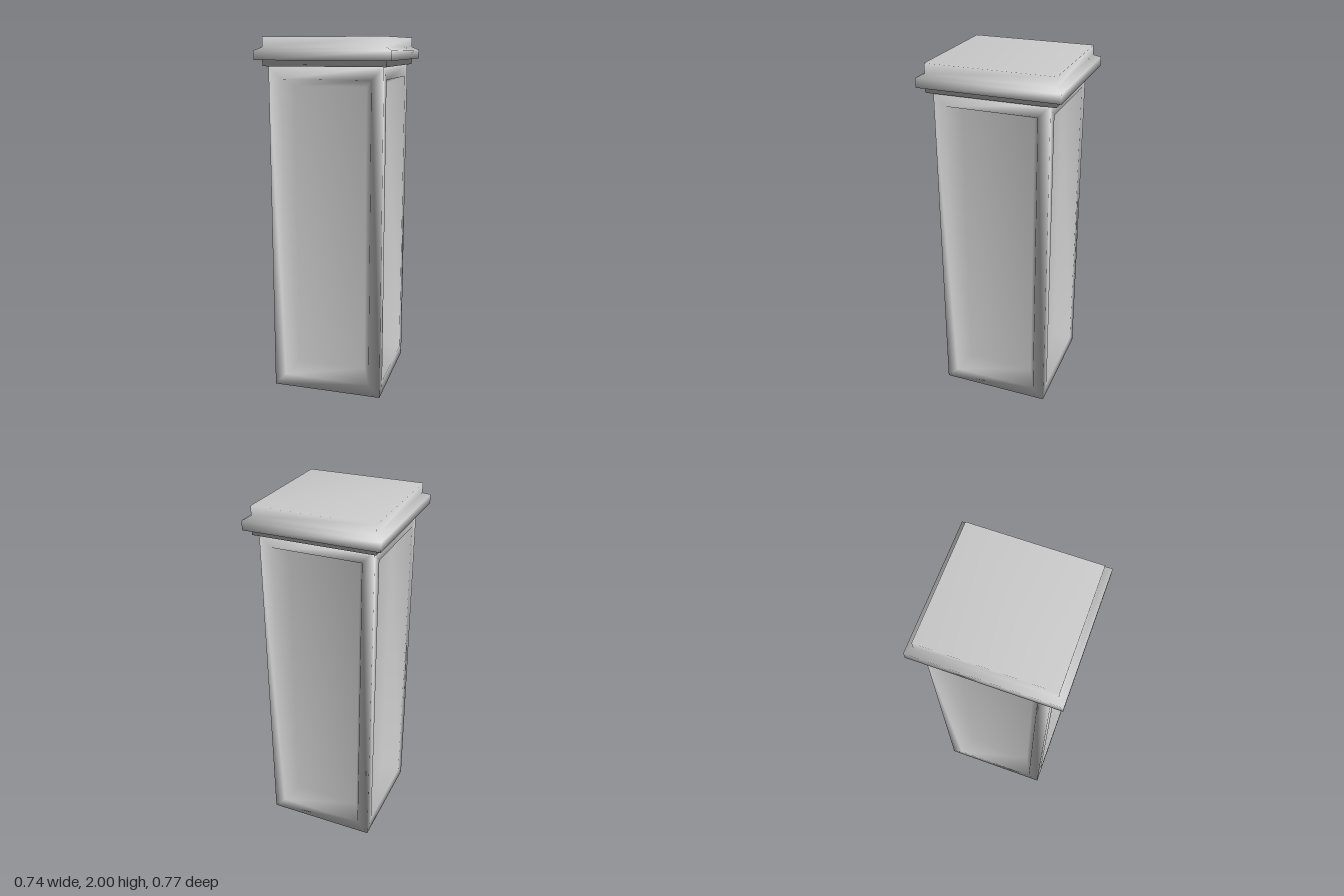
import * as THREE from 'three';
import { mergeVertices } from 'three/addons/utils/BufferGeometryUtils.js';

const material = new THREE.MeshStandardMaterial({ color: 0xcccccc });

// Turns quads (counter-clockwise corners) into one mesh with shared corners and smooth normals.
function quadMesh(name, quads) {
  const positions = quads.flatMap(([a, b, c, d]) => [a, b, c, a, c, d]).flat();
  const soup = new THREE.BufferGeometry();
  soup.setAttribute('position', new THREE.Float32BufferAttribute(positions, 3));
  const geometry = mergeVertices(soup);
  geometry.computeVertexNormals();
  const mesh = new THREE.Mesh(geometry, material);
  mesh.name = name;
  return mesh;
}

// Four-sided band joining two loops of four corners.
const band = (a, b) => a.map((p, i) => {
  const j = (i + 1) % 4;
  return [p, a[j], b[j], b[i]];
});

// Rectangular horizontal ring, counter-clockwise seen from above.
const ring = (y, hx, hz) => [[-hx, y, hz], [hx, y, hz], [hx, y, -hz], [-hx, y, -hz]];

// Square shaft with a deep, steep-sided sunken panel on each side.
function createShaft() {
  const half = 0.315, top = 1.85;
  const loops = [ // half width, bottom, top, distance from the axis
    [half, 0, top, half],
    [0.25, 0.07, 1.78, half],
    [0.2, 0.12, 1.74, 0.215],
  ];
  const quads = [ring(0, half, half).reverse(), ring(top, half, half)];
  for (const [c, s] of [[1, 0], [0, 1], [-1, 0], [0, -1]]) {
    const turn = (x, y, z) => [x * c + z * s, y, z * c - x * s];
    const [frame, lip, panel] = loops.map(([h, y0, y1, z]) =>
      [turn(-h, y0, z), turn(h, y0, z), turn(h, y1, z), turn(-h, y1, z)]);
    quads.push(...band(frame, lip), ...band(lip, panel), panel);
  }
  return quadMesh('shaft', quads);
}

// Moulded cap: neck, overhanging rim with a sloped shoulder, flat top.
function createCap() {
  const rings = [
    [1.848, 0.335, 0.35],
    [1.88, 0.335, 0.35],
    [1.88, 0.37, 0.385],
    [1.93, 0.37, 0.385],
    [1.947, 0.334, 0.349],
    [2, 0.334, 0.349],
  ].map((r) => ring(...r));
  const quads = [[...rings[0]].reverse(), rings[rings.length - 1]];
  for (let i = 1; i < rings.length; i++) quads.push(...band(rings[i - 1], rings[i]));
  return quadMesh('cap', quads);
}

export function createModel() {
  const model = new THREE.Group();
  model.name = 'pillar';
  model.add(createShaft(), createCap());
  return model;
}
